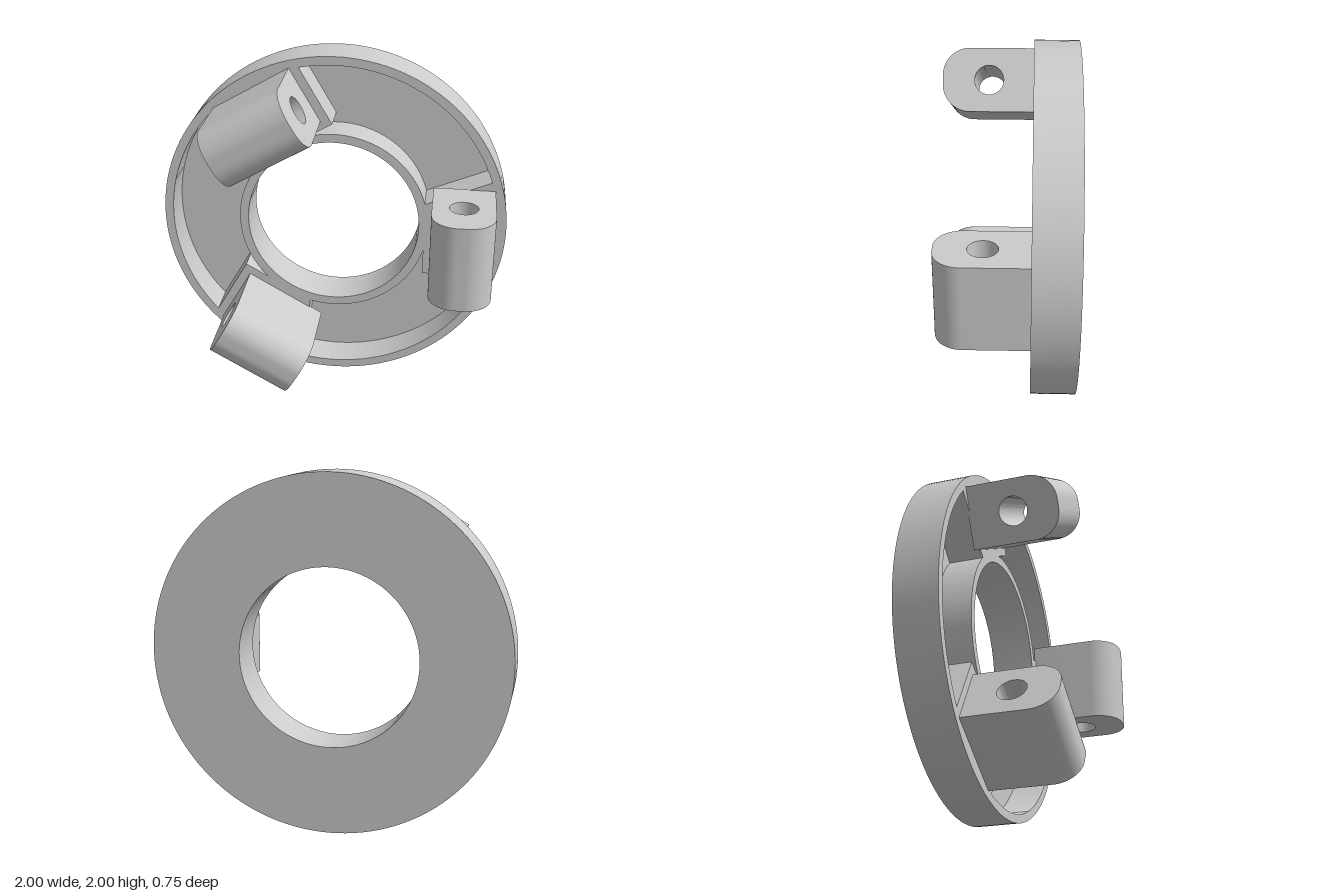
import * as THREE from 'three';
import { toCreasedNormals } from 'three/addons/utils/BufferGeometryUtils.js';

const OUTER = 1, INNER = 0.5, RIM = 0.05;
const BACK = -0.375, FACE = -0.125, FLOOR = 0.05;
const PAD_X = 0.53, PAD_HALF = 0.3;
const STEP = (Math.PI * 2) / 3;

const material = new THREE.MeshStandardMaterial({ color: 0xcccccc });

function extrude(shape, depth, curveSegments) {
  const geometry = new THREE.ExtrudeGeometry(shape, { depth, curveSegments, bevelEnabled: false });
  return toCreasedNormals(geometry, 0.5);
}

function addMesh(parent, name, geometry) {
  const mesh = new THREE.Mesh(geometry, material);
  mesh.name = name;
  parent.add(mesh);
  return mesh;
}

function annulus() {
  const shape = new THREE.Shape().absarc(0, 0, OUTER, 0, Math.PI * 2, false);
  shape.holes.push(new THREE.Path().absarc(0, 0, INNER, 0, Math.PI * 2, true));
  return shape;
}

// Recess between two neighbouring lug pads, starting at angle `start`
function pocket(start) {
  const rOut = OUTER - RIM, rIn = INNER + RIM;
  const aOut = Math.asin(PAD_HALF / rOut);
  const aIn = Math.acos(PAD_X / rIn);
  const corner = (y, angle) => new THREE.Vector2(PAD_X, y).rotateAround(new THREE.Vector2(), angle);
  const path = new THREE.Path();
  const first = corner(PAD_HALF, start);
  const last = corner(-PAD_HALF, start + STEP);
  path.moveTo(first.x, first.y);
  path.absarc(0, 0, rOut, start + aOut, start + STEP - aOut, false);
  path.lineTo(last.x, last.y);
  path.absarc(0, 0, rIn, start + STEP - aIn, start + aIn, true);
  path.closePath();
  return path;
}

// Lug profile in x (radial) and z (height), with rounded top and pin hole
function lugGeometry() {
  const x0 = 0.575, x1 = 0.925, base = FACE - 0.01, top = 0.375, r = 0.15, width = 0.5;
  const shape = new THREE.Shape();
  shape.moveTo(x0, base);
  shape.lineTo(x1, base);
  shape.absarc(x1 - r, top - r, r, 0, Math.PI / 2, false);
  shape.absarc(x0 + r, top - r, r, Math.PI / 2, Math.PI, false);
  shape.closePath();
  shape.holes.push(new THREE.Path().absarc(0.75, 0.12, 0.08, 0, Math.PI * 2, true));
  return extrude(shape, width, 24).rotateX(Math.PI / 2).translate(0, width / 2, 0);
}

export function createModel() {
  const model = new THREE.Group();
  model.name = 'ringWithLugs';
  const body = new THREE.Group();
  body.name = 'body';
  body.position.y = 1;
  model.add(body);

  // Ring: solid back plate and pocketed front layer
  addMesh(body, 'ringBackPlate', extrude(annulus(), FLOOR, 64)).position.z = BACK;
  const front = annulus();
  for (let i = 0; i < 3; i++) front.holes.push(pocket(i * STEP));
  addMesh(body, 'ringPocketedFront', extrude(front, FACE - BACK - FLOOR, 64)).position.z = BACK + FLOOR;

  // Three pin lugs around the ring
  const lug = lugGeometry();
  for (let i = 0; i < 3; i++) addMesh(body, 'pinLug' + (i + 1), lug).rotation.z = i * STEP;

  return model;
}
